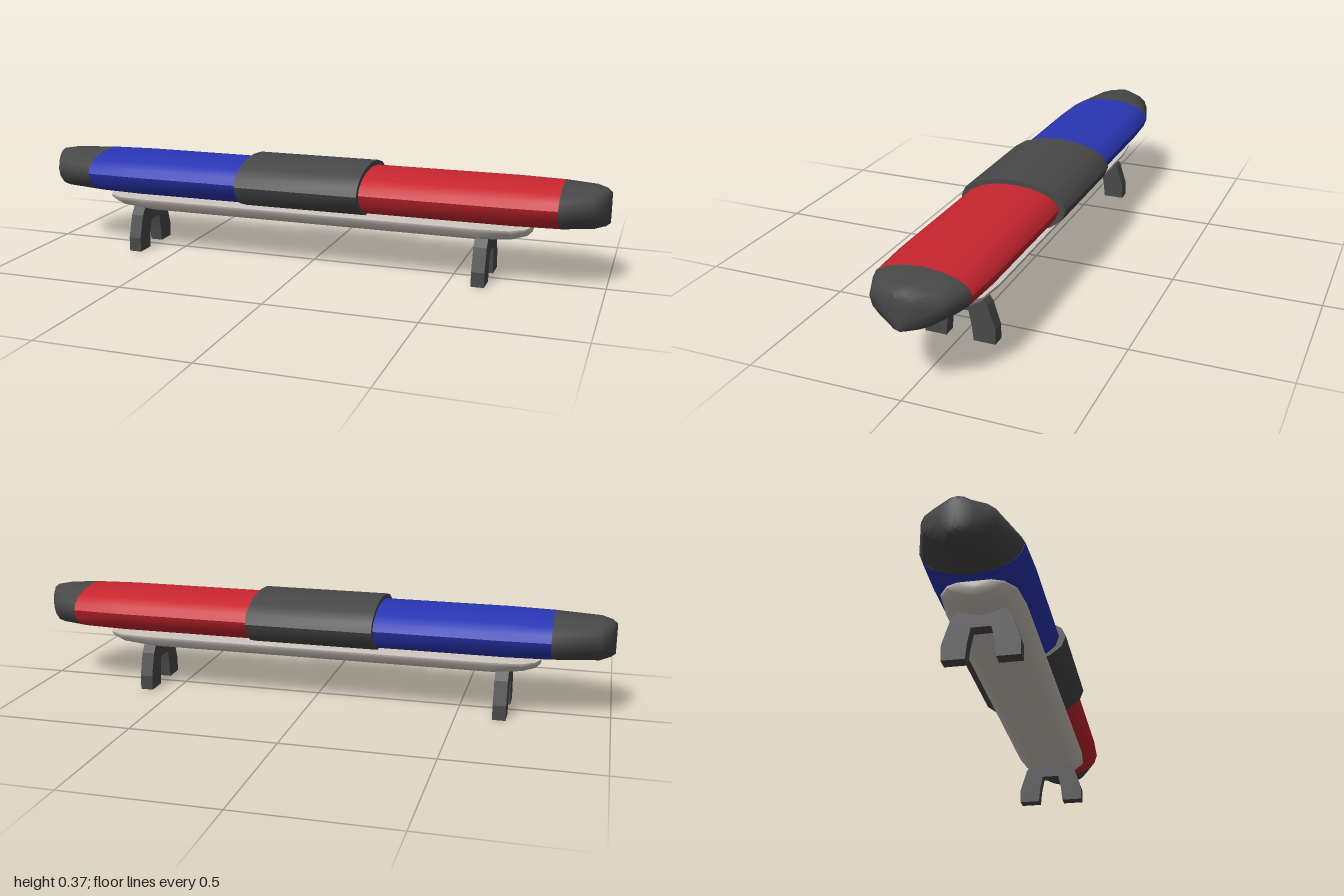
import * as THREE from 'three';
import { toCreasedNormals } from 'three/addons/utils/BufferGeometryUtils.js';

const AXIS_Y = 0.284;
const mat = (color) => new THREE.MeshStandardMaterial({ color, roughness: 0.7 });

// Skins rings of [y, z] points, each at its own x (ascending), and closes both ends.
function loft(rings, crease = 0.6) {
  const n = rings[0].points.length;
  const pos = [], idx = [];
  rings.forEach(({ x, points }) => points.forEach(([y, z]) => pos.push(x, y, z)));
  for (let r = 0; r < rings.length - 1; r++) {
    for (let i = 0; i < n; i++) {
      const a = r * n + i, b = r * n + (i + 1) % n;
      idx.push(a, b, a + n, b, b + n, a + n);
    }
  }
  [0, rings.length - 1].forEach((r, end) => {
    const { x, points } = rings[r];
    const c = pos.length / 3;
    pos.push(x, points.reduce((s, p) => s + p[0], 0) / n, 0);
    for (let i = 0; i < n; i++) {
      const a = r * n + i, b = r * n + (i + 1) % n;
      if (end) idx.push(c, a, b); else idx.push(c, b, a);
    }
  });
  const geo = new THREE.BufferGeometry();
  geo.setAttribute('position', new THREE.Float32BufferAttribute(pos, 3));
  geo.setIndex(idx);
  return toCreasedNormals(geo, crease);
}

// Sixteen-sided oval with separate upper and lower heights.
function oval(x, halfZ, up, down) {
  const points = [];
  for (let i = 0; i < 16; i++) {
    const a = i / 16 * Math.PI * 2, c = Math.cos(a);
    points.push([AXIS_Y + c * (c > 0 ? up : down), Math.sin(a) * halfZ]);
  }
  return { x, points };
}

// Boat-shaped section of the base: flat on top, curved beneath.
function hull(x, halfZ, depth) {
  const half = [[0, 1], [0.18, 0.98], [0.65, 0.66], [0.88, 0.32]];
  const side = half.map(([d, w]) => [0.197 - d * depth, w * halfZ]);
  const other = side.map(([y, z]) => [y, -z]).reverse();
  return { x, points: [...side, [0.197 - depth, 0], ...other] };
}

export function createModel() {
  const group = new THREE.Group();
  const dark = mat(0x484848);
  const add = (name, geo, material) => {
    const mesh = new THREE.Mesh(geo, material);
    mesh.name = name;
    group.add(mesh);
    return mesh;
  };

  // Coloured lenses
  add('rightLens', loft([
    oval(-0.8, 0.157, 0.062, 0.087), oval(-0.65, 0.163, 0.065, 0.09), oval(-0.2, 0.163, 0.065, 0.09),
  ]), mat(0x2a36b4));
  add('leftLens', loft([
    oval(0.19, 0.163, 0.065, 0.09), oval(0.7, 0.163, 0.065, 0.09), oval(0.85, 0.155, 0.062, 0.087),
  ]), mat(0xc8262f));

  // Centre sleeve
  add('centreSleeve', loft([oval(-0.225, 0.186, 0.081, 0.095), oval(0.207, 0.186, 0.081, 0.095)]), dark);

  // Tapered end caps, closing to an upright edge
  const capRings = (start) => [
    oval(start, 0.156, 0.062, 0.087), oval(0.95, 0.11, 0.058, 0.082),
    oval(0.985, 0.05, 0.052, 0.074), oval(1, 0.008, 0.04, 0.062),
  ];
  add('leftEndCap', loft(capRings(0.85), 0.9), dark);
  add('rightEndCap', loft(capRings(0.8).reverse().map((r) => ({ ...r, x: -r.x })), 0.9), dark);

  // Base under the lenses
  const base = add('base', loft([
    hull(-0.76, 0.05, 0.025), hull(-0.745, 0.085, 0.04), hull(-0.7, 0.115, 0.054), hull(-0.6, 0.125, 0.065),
    hull(0.6, 0.125, 0.065), hull(0.7, 0.115, 0.054), hull(0.745, 0.085, 0.04), hull(0.76, 0.05, 0.025),
  ], 0.8), mat(0xcfc8c0));
  base.position.x = -0.004;

  // Forked mounting feet
  const half = [[0.046, 0], [0.119, 0], [0.119, 0.05], [0.094, 0.128], [0.072, 0.157]];
  const inner = [[0.031, 0.1], [0.041, 0.05]];
  const mirror = (pts) => pts.map(([z, y]) => [-z, y]).reverse();
  const outline = [...half, ...mirror(half), ...mirror(inner), ...inner];
  const footGeo = new THREE.ExtrudeGeometry(
    new THREE.Shape(outline.map(([z, y]) => new THREE.Vector2(z, y))),
    { depth: 0.044, bevelEnabled: false },
  );
  footGeo.translate(0, 0, -0.022).rotateY(Math.PI / 2);
  [['rightFoot', -0.644], ['leftFoot', 0.602]].forEach(([name, x]) => {
    add(name, footGeo, dark).position.x = x;
  });

  return group;
}
